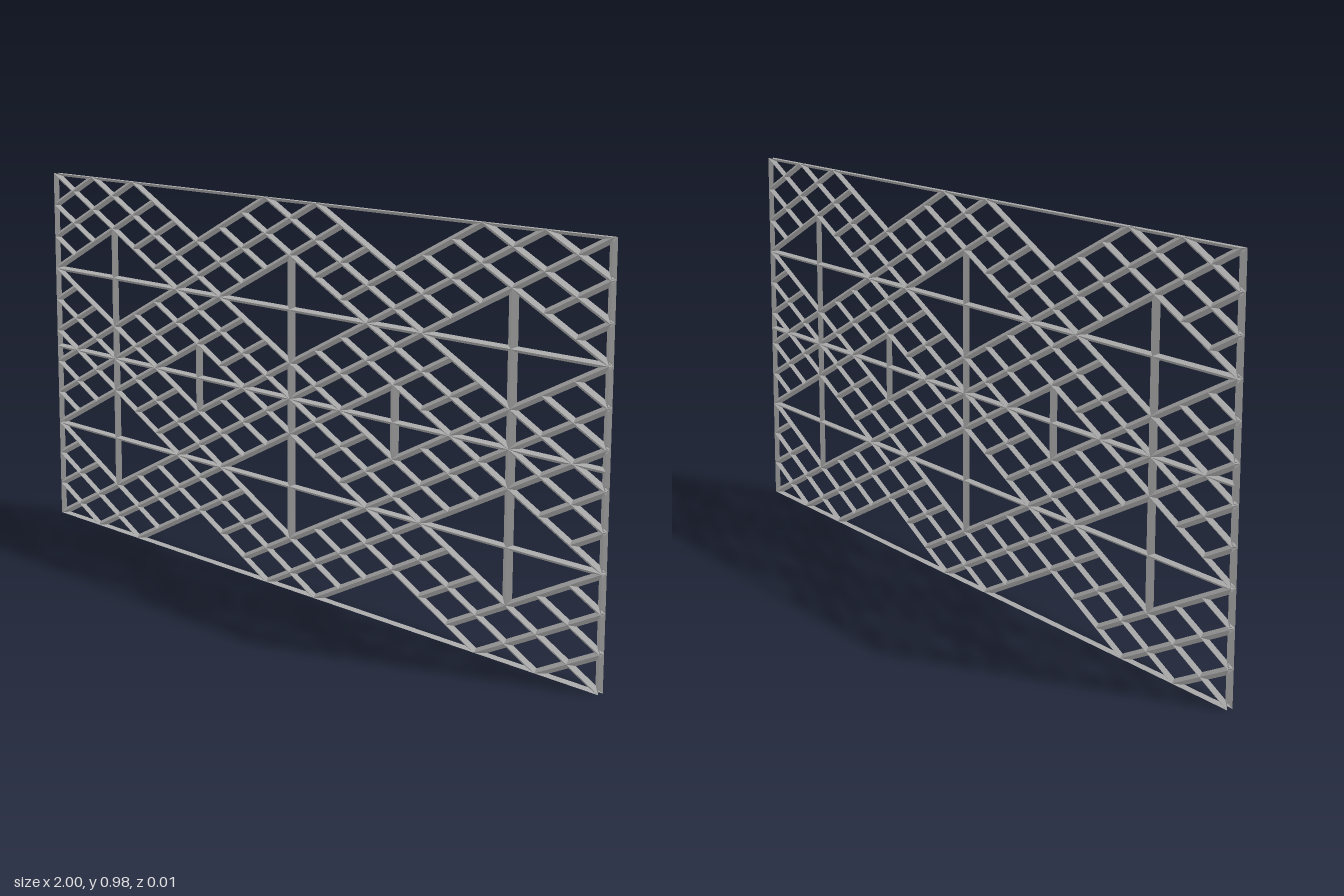
import * as THREE from 'three';
import { mergeGeometries } from 'three/addons/utils/BufferGeometryUtils.js';

// The panel is laid out on an 11 x 11 grid of cells, then sized to the panel.
const N = 11, R = 0.08;
const W = 2, H = 0.975, HALF_DEPTH = 0.0075;

const material = new THREE.MeshStandardMaterial({
  color: 0xcccccc, flatShading: true, side: THREE.DoubleSide,
});

// Grid coordinates to model coordinates
function fit(geometry) {
  geometry.translate(-N / 2, 0, 0);
  geometry.scale(W / N, H / N, HALF_DEPTH / R);
  return geometry;
}

// Diamond-section tube between two grid points; an end on the panel edge
// is cut to lie in the V-shaped walls of the border
function bar(u0, v0, u1, v1) {
  const a = new THREE.Vector3(u0, v0, 0), b = new THREE.Vector3(u1, v1, 0);
  const length = a.distanceTo(b);
  const g = new THREE.CylinderGeometry(R, R, length, 4, 1, true);
  g.rotateZ(Math.atan2(v1 - v0, u1 - u0) - Math.PI / 2);
  g.translate((u0 + u1) / 2, (v0 + v1) / 2, 0);

  const p = g.attributes.position;
  const vertex = new THREE.Vector3();
  for (let i = 0; i < p.count; i++) {
    vertex.fromBufferAttribute(p, i);
    const [end, other] = i < p.count / 2 ? [b, a] : [a, b];
    const inward = other.clone().sub(end).divideScalar(length);
    const inset = R - Math.abs(vertex.z);
    const slides = [];
    for (const axis of ['x', 'y']) {
      if (end[axis] === 0) slides.push((inset - vertex[axis]) / inward[axis]);
      if (end[axis] === N) slides.push((N - inset - vertex[axis]) / inward[axis]);
    }
    if (slides.length) vertex.addScaledVector(inward, Math.max(...slides));
    p.setXYZ(i, vertex.x, vertex.y, vertex.z);
  }
  g.computeVertexNormals();
  return fit(g);
}

// Diamond-shaped openings: [u, v, radius]
const openings = [];
for (const u of [1.5, 5.5, 9.5]) openings.push([u, 3, 1.5], [u, 8, 1.5]);
for (const u of [3.5, 7.5]) openings.push([u, 0, 1.5], [u, 5.5, 1], [u, 11, 1.5]);

const isOpen = (u, v) =>
  openings.some(([a, b, r]) => Math.abs(u - a) + Math.abs(v - b) < r - 0.01);

// All bars of one diagonal direction, interrupted at the openings
function diagonals(slope) {
  const bars = [];
  for (let k = slope > 0 ? 1 - N : 1; k < (slope > 0 ? N : 2 * N); k++) {
    const at = (u) => k + slope * u;
    let start = null;
    for (let u = 0; u <= N; u += 0.5) {
      const um = u + 0.25, vm = at(um);
      const solid = um < N && vm > 0 && vm < N && !isOpen(um, vm);
      if (solid && start === null) start = u;
      if (!solid && start !== null) {
        bars.push(bar(start, at(start), u, at(u)));
        start = null;
      }
    }
  }
  return mergeGeometries(bars);
}

// One side of the border: a groove open to the outside, whose two walls are
// cut away where the diagonal tubes run into it
function borderSide(nodes, place) {
  const gap = R * (1 + Math.SQRT2);
  const points = [], index = [];
  for (let i = 0; i + 1 < nodes.length; i++) {
    const from = nodes[i], to = nodes[i + 1];
    for (const z of [R, -R]) {
      const n = points.length / 3;
      points.push(...place(from, 0), z, ...place(to, 0), z,
        ...place(to - gap, R), 0, ...place(from + gap, R), 0);
      index.push(n, n + 1, n + 2, n, n + 2, n + 3);
    }
  }
  const g = new THREE.BufferGeometry();
  g.setAttribute('position', new THREE.Float32BufferAttribute(points, 3));
  g.setIndex(index);
  g.computeVertexNormals();
  return fit(g);
}

export function createModel() {
  const group = new THREE.Group();
  group.name = 'latticePanel';
  const add = (name, geometry) => {
    const mesh = new THREE.Mesh(geometry, material);
    mesh.name = name;
    group.add(mesh);
  };

  // Border, with the points where diagonals meet it
  const endNodes = [0, 1, 2, 5, 6, 9, 10, 11];
  const sideNodes = Array.from({ length: N + 1 }, (_, i) => i);
  add('bottomBorder', borderSide(endNodes, (s, inset) => [s, inset]));
  add('topBorder', borderSide(endNodes, (s, inset) => [s, N - inset]));
  add('rightBorder', borderSide(sideNodes, (s, inset) => [inset, s]));
  add('leftBorder', borderSide(sideNodes, (s, inset) => [N - inset, s]));

  add('risingLattice', diagonals(1));
  add('fallingLattice', diagonals(-1));

  // Rails across the full width
  for (const v of [3, 5.5, 8]) add('rail', bar(0, v, N, v));

  // Uprights through the openings
  for (const u of [1.5, 5.5, 9.5]) add('tallUpright', bar(u, 1.5, u, 9.5));
  for (const u of [3.5, 7.5]) add('shortUpright', bar(u, 4.5, u, 6.5));

  return group;
}
